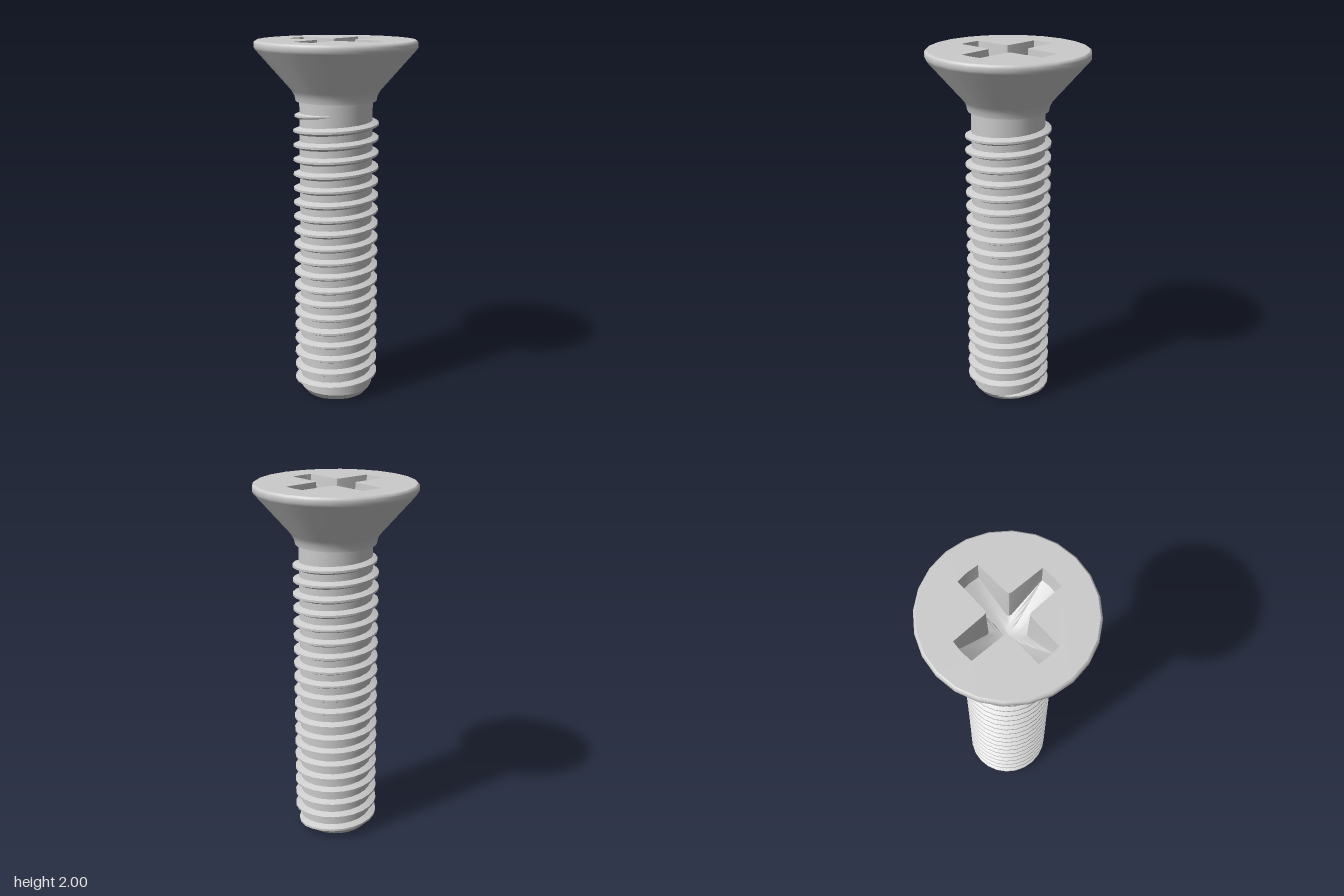
import * as THREE from 'three';
import { toCreasedNormals } from 'three/addons/utils/BufferGeometryUtils.js';

const SIDES = 24;
const material = new THREE.MeshStandardMaterial({ color: 0xcccccc });

function addPart(group, name, geometry, crease = 0.6) {
  const mesh = new THREE.Mesh(toCreasedNormals(geometry, crease), material);
  mesh.name = name;
  group.add(mesh);
}

function lathe(profile) {
  return new THREE.LatheGeometry(profile.map(([r, y]) => new THREE.Vector2(r, y)), SIDES);
}

// Skin of quads between successive rows of [x, y, z] points
function skin(rows, closed) {
  const n = rows[0].length;
  const index = [];
  for (let k = 0; k < rows.length - 1; k++) {
    for (let i = 0; i < (closed ? n : n - 1); i++) {
      const j = (i + 1) % n;
      const a = k * n, b = a + n;
      index.push(a + i, a + j, b + j, a + i, b + j, b + i);
    }
  }
  const geometry = new THREE.BufferGeometry();
  geometry.setAttribute('position', new THREE.Float32BufferAttribute(rows.flat(2), 3));
  geometry.setIndex(index);
  return geometry;
}

// Cross outline: one arm repeated by quarter turns
function crossOutline(length, endHalf, innerHalf) {
  const arm = [
    [innerHalf + 0.017, -innerHalf], [length, -endHalf], [length + 0.005, 0],
    [length, endHalf], [innerHalf + 0.017, innerHalf], [innerHalf + 0.005, innerHalf + 0.005],
  ];
  const points = [];
  for (let q = 0; q < 4; q++) {
    for (const [x, y] of arm) {
      points.push(new THREE.Vector2(x, y).rotateAround(new THREE.Vector2(), q * Math.PI / 2));
    }
  }
  return points;
}

// Helical ridge that fades out at both ends
function threadGeometry() {
  const turns = 20, pitch = 0.08, startY = 0.025;
  const section = [[0.18, -0.03], [0.234, -0.006], [0.234, 0.006], [0.18, 0.03]];
  const rows = section.map(() => []);
  for (let i = 0; i <= turns * SIDES; i++) {
    const turn = i / SIDES;
    const angle = turn * Math.PI * 2;
    const fade = Math.min(1, turn / 0.25, (turns - turn) / 0.45);
    section.forEach(([r, dy], k) => {
      const radius = 0.18 + (r - 0.18) * fade;
      const y = startY + turn * pitch + dy * (0.4 + 0.6 * fade);
      rows[k].push([radius * Math.cos(angle), y, -radius * Math.sin(angle)]);
    });
  }
  return skin(rows, false);
}

export function createModel() {
  const group = new THREE.Group();
  group.name = 'countersunkScrew';

  // Shaft with chamfered tip
  addPart(group, 'shaft', lathe([[0, 0], [0.172, 0], [0.2, 0.035], [0.2, 1.69]]));
  addPart(group, 'thread', threadGeometry());

  // Conical head with a small collar fillet and a rounded rim
  addPart(group, 'head', lathe([
    [0.19, 1.677], [0.22, 1.677], [0.225, 1.705], [0.242, 1.735],
    [0.433, 1.952], [0.44, 1.965], [0.44, 1.984], [0.437, 1.994], [0.428, 2],
  ]), 0.9);

  // Flat top with the cross cut out
  const rim = crossOutline(0.279, 0.064, 0.068);
  const top = new THREE.Shape();
  const circle = [];
  for (let i = 0; i < SIDES; i++) {
    const a = i / SIDES * Math.PI * 2;
    circle.push(new THREE.Vector2(0.428 * Math.cos(a), 0.428 * Math.sin(a)));
  }
  top.setFromPoints(circle);
  top.holes.push(new THREE.Path(rim));
  addPart(group, 'headTop', new THREE.ShapeGeometry(top).rotateX(-Math.PI / 2).translate(0, 2, 0));

  // Drive recess: steep walls, floor sinking towards the middle
  const base = crossOutline(0.269, 0.054, 0.061);
  const floorRow = (s) => base.map((p) => {
    const r = p.length() * s;
    return [p.x * s, 1.73 + 0.17 * Math.pow(r / 0.274, 1.4), -p.y * s];
  });
  addPart(group, 'recessWalls', skin([rim.map((p) => [p.x, 2, -p.y]), floorRow(1)], true));
  addPart(group, 'recessFloor', skin([1, 0.75, 0.5, 0.25, 0.001].map(floorRow), true));

  return group;
}
